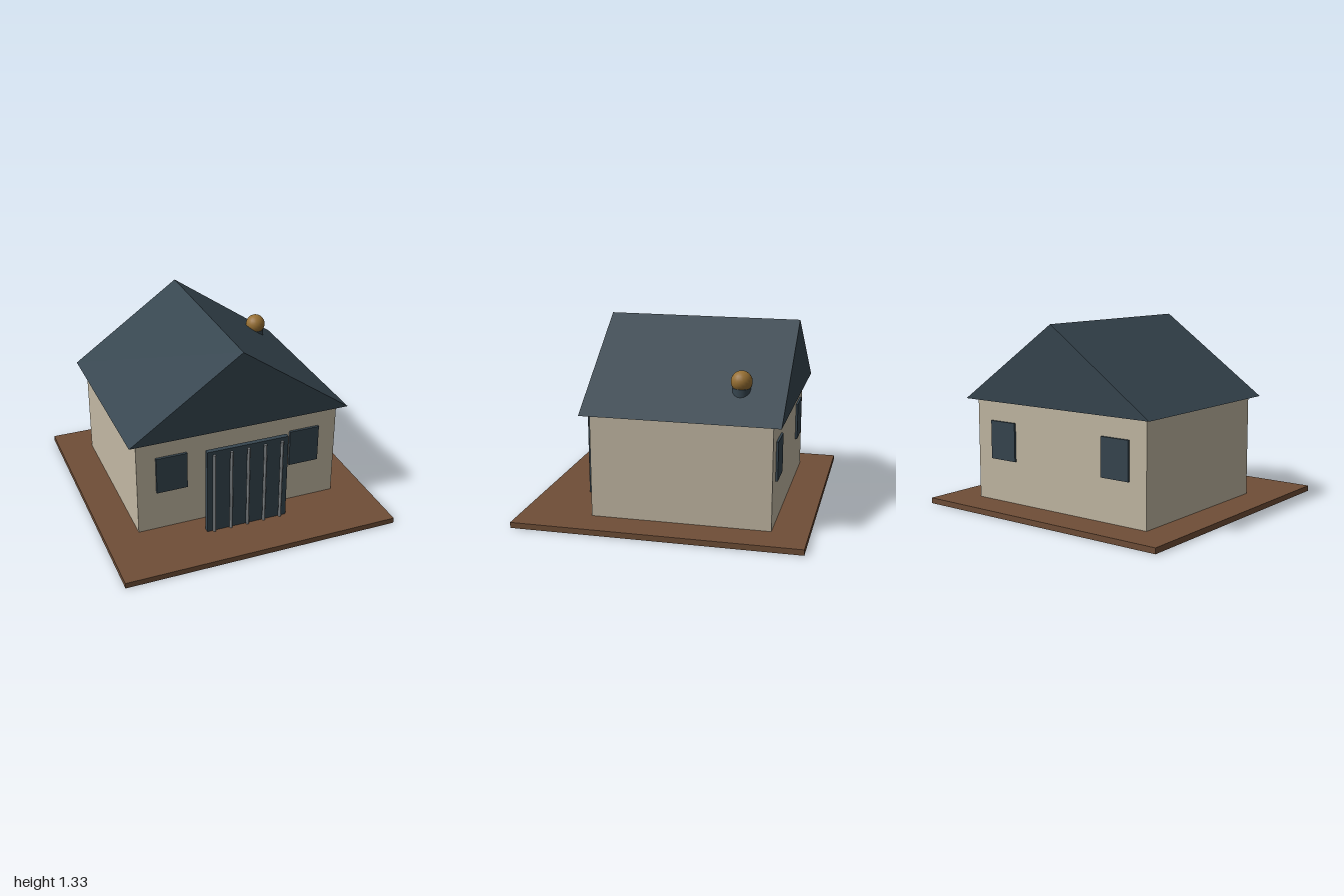
import * as THREE from 'three';

const mat = (name, color) => {
  const m = new THREE.MeshStandardMaterial({ color });
  m.name = name;
  return m;
};

export function createModel() {
  const house = new THREE.Group();
  house.name = 'house';

  const earth = mat('earth brown', 0x6f4e37);
  const plaster = mat('sand plaster', 0xc2b8a3);
  const slate = mat('slate', 0x36454f);
  const steel = mat('steel grey', 0x808588);
  const bronze = mat('bronze', 0x966f33);

  const add = (name, geometry, material, x, y, z) => {
    const mesh = new THREE.Mesh(geometry, material);
    mesh.name = name;
    mesh.position.set(x, y, z);
    house.add(mesh);
    return mesh;
  };
  const box = (name, w, h, d, material, x, y, z) =>
    add(name, new THREE.BoxGeometry(w, h, d), material, x, y, z);

  // Ground slab and walls
  box('ground', 2, 0.04, 2, earth, 0, 0.02, 0);
  box('walls', 1.5, 0.73, 1.25, plaster, 0, 0.405, -0.125);

  // Solid gable roof
  const gable = new THREE.Shape();
  gable.moveTo(-0.81, 0).lineTo(0.81, 0).lineTo(0, 0.567).closePath();
  const roof = new THREE.ExtrudeGeometry(gable, { depth: 1.37, bevelEnabled: false });
  add('roof', roof, slate, 0, 0.767, -0.81);

  // Door behind the gate
  box('door', 0.28, 0.51, 0.03, earth, 0, 0.295, 0.513);

  // Windows, a pair on the front and a pair on the back
  for (const x of [-0.5, 0.5]) {
    box('frontWindow', 0.225, 0.275, 0.03, slate, x, 0.482, 0.503);
    box('backWindow', 0.225, 0.275, 0.03, slate, x, 0.482, -0.75);
  }

  // Free-standing gate with upright bars
  box('gate', 0.6, 0.65, 0.035, slate, 0, 0.365, 0.651);
  for (let i = -2; i <= 2; i++) {
    add('gateBar', new THREE.CylinderGeometry(0.0105, 0.0105, 0.625, 10), steel, i * 0.125, 0.3525, 0.677);
  }

  // Chimney pot with a ball cap
  add('chimney', new THREE.CylinderGeometry(0.062, 0.062, 0.2, 20), slate, 0.55, 0.86, -0.5);
  add('chimneyBall', new THREE.SphereGeometry(0.073, 20, 14), bronze, 0.55, 1.003, -0.5);

  return house;
}
